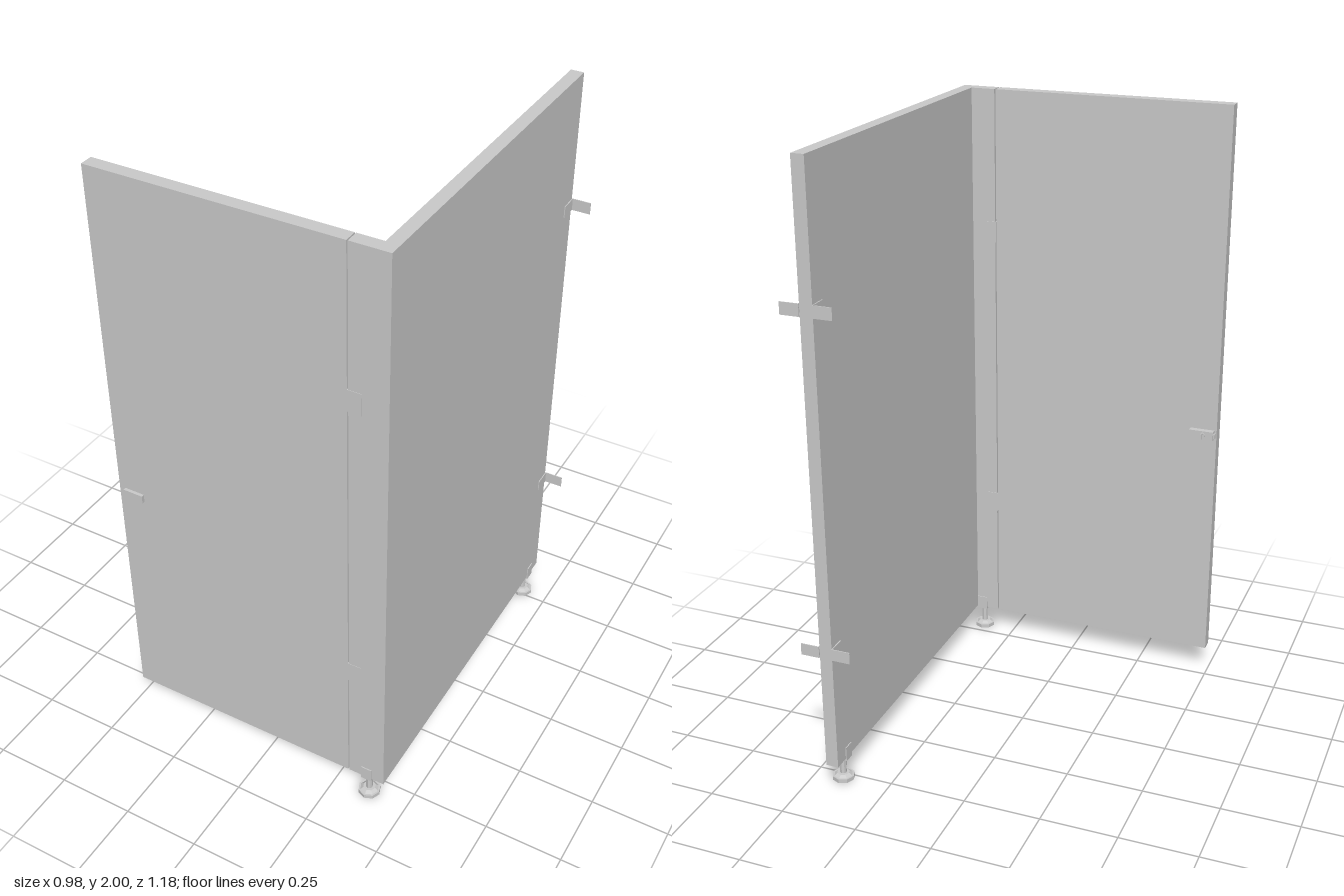
import * as THREE from 'three';

const mat = new THREE.MeshStandardMaterial({ color: 0xcccccc, flatShading: true });

// Box given by its limits along each axis
function box(parent, name, [x0, x1], [y0, y1], [z0, z1]) {
  const m = new THREE.Mesh(new THREE.BoxGeometry(x1 - x0, y1 - y0, z1 - z0), mat);
  m.position.set((x0 + x1) / 2, (y0 + y1) / 2, (z0 + z1) / 2);
  m.name = name;
  parent.add(m);
  return m;
}

function cylinder(parent, name, r0, r1, h, x, y, z, sides = 8) {
  const m = new THREE.Mesh(new THREE.CylinderGeometry(r0, r1, h, sides), mat);
  m.position.set(x, y, z);
  m.name = name;
  parent.add(m);
  return m;
}

// Adjustable foot: disc, stem and a fork that grips the panel's lower edge (panel runs along z)
function foot(name, x, z, turn) {
  const g = new THREE.Group();
  g.name = name;
  cylinder(g, 'footDisc', 0.036, 0.036, 0.013, 0, 0.0065, 0);
  cylinder(g, 'footCollar', 0.02, 0.03, 0.008, 0, 0.017, 0);
  cylinder(g, 'footStem', 0.011, 0.011, 0.06, 0, 0.048, 0);
  box(g, 'forkBase', [-0.023, 0.023], [0.077, 0.085], [-0.018, 0.018]);
  for (const s of [-1, 1]) {
    const m = box(g, 'forkFlange', [-0.0015, 0.0015], [0.077, 0.125], [-0.018, 0.018]);
    m.position.x = s * 0.0225;
  }
  g.position.set(x, 0, z);
  g.rotation.y = turn;
  return g;
}

export function createModel() {
  const model = new THREE.Group();
  model.name = 'cubicle';
  const Y = [0.085, 2], Z = [0.533, 0.575];

  // Panels
  box(model, 'sidePanel', [0.386, 0.427], Y, [-0.591, 0.575]);
  box(model, 'fixedFrontStrip', [0.306, 0.386], Y, Z);
  box(model, 'door', [-0.49, 0.302], Y, Z);

  // Door hinges: thin clips around the edge of the fixed strip
  for (const y of [0.525, 1.525]) {
    const hinge = new THREE.Group();
    hinge.name = 'hinge';
    const h = [y - 0.035, y + 0.035];
    box(hinge, 'hingeInnerLeaf', [0.302, 0.345], h, [0.531, 0.533]);
    box(hinge, 'hingeOuterLeaf', [0.302, 0.345], h, [0.575, 0.576]);
    box(hinge, 'hingePlate', [0.302, 0.306], h, [0.531, 0.576]);
    model.add(hinge);
  }

  // Wall brackets: a pair of angles on either face of the side panel
  for (const y of [0.49, 1.568]) {
    const bracket = new THREE.Group();
    bracket.name = 'wallBracket';
    const h = [y - 0.019, y + 0.019];
    for (const s of [-1, 1]) {
      const plate = box(bracket, 'wallPlate', [0, 0.061], h, [-0.595, -0.592]);
      plate.position.x = 0.4065 + s * 0.0515;
      const flange = box(bracket, 'panelFlange', [0, 0.003], h, [-0.592, -0.535]);
      flange.position.x = 0.4065 + s * 0.022;
    }
    model.add(bracket);
  }

  // Feet
  model.add(foot('rearFoot', 0.4065, -0.522, 0));
  model.add(foot('frontFoot', 0.367, 0.554, Math.PI / 2));

  // Door latch: outer plate, inner housing, bolt and turn knob
  const latch = new THREE.Group();
  latch.name = 'latch';
  box(latch, 'outerPlate', [-0.47, -0.402], [0.89, 0.917], [0.575, 0.585]);
  box(latch, 'innerHousing', [-0.482, -0.4], [0.888, 0.919], [0.513, 0.533]);
  box(latch, 'bolt', [-0.488, -0.478], [0.895, 0.912], [0.516, 0.527]);
  const knob = cylinder(latch, 'knobBase', 0.011, 0.011, 0.004, -0.445, 0.903, 0.511, 12);
  knob.rotation.x = Math.PI / 2;
  box(latch, 'knobGrip', [-0.447, -0.443], [0.893, 0.913], [0.499, 0.513]);
  model.add(latch);

  return model;
}
